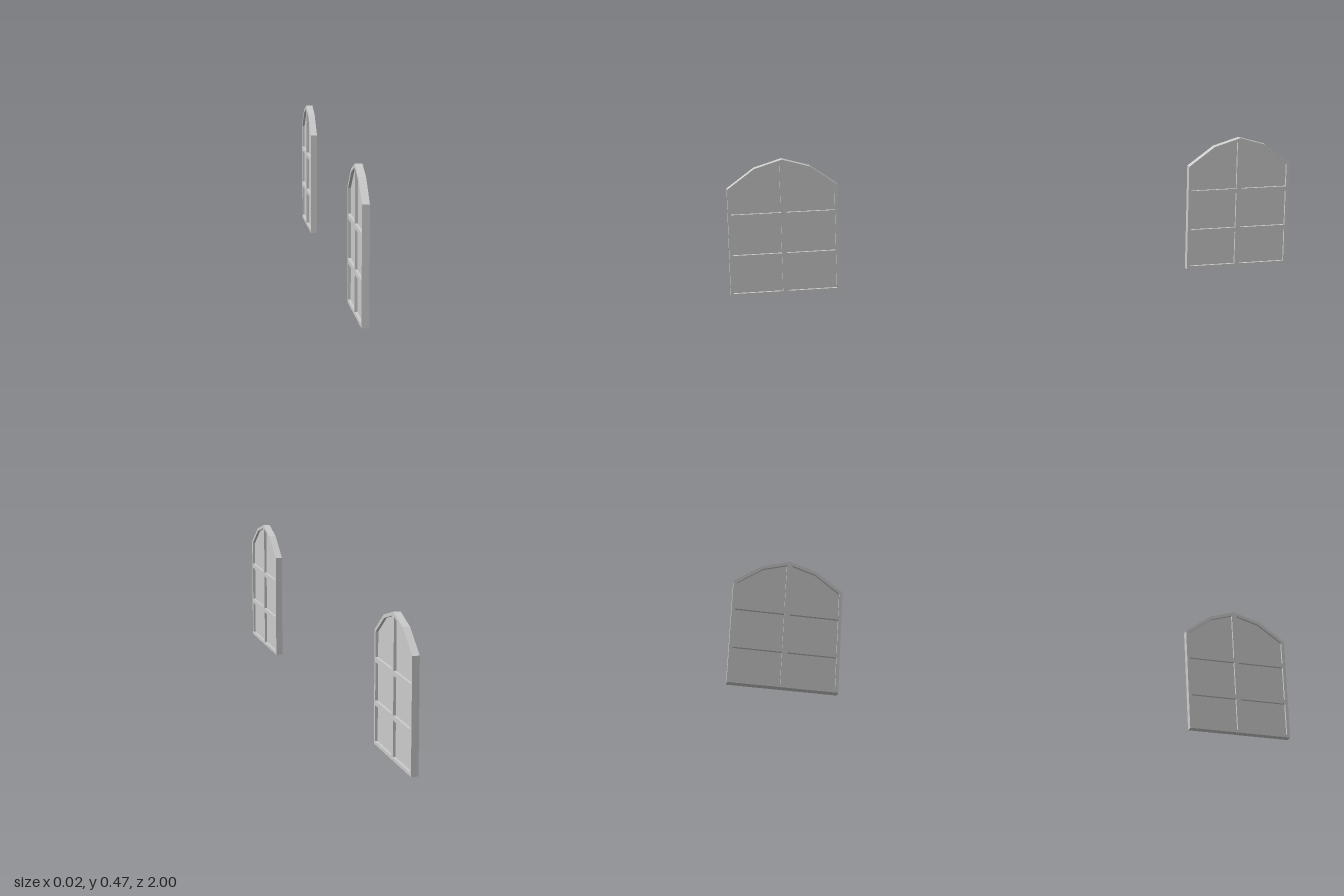
import * as THREE from 'three';

const W = 0.1875;     // half width of a window
const DEPTH = 0.024;  // frame thickness
const GLASS = 0.006;  // pane thickness
const RIM = 0.011;    // frame border
const BAR = 0.009;    // half width of the glazing bars

// Faceted arch, right half: [offset from the centre line, height]
const ARCH = [[0, 0.474], [0.094, 0.446], [W, 0.378]];
const INNER = [[BAR, 0.46], [0.09, 0.435], [W - RIM, 0.372]];

const points = (list) => list.map(([x, y]) => new THREE.Vector2(x, y));

// Extrude a shape centred on its own thickness, then turn it to face along x
function slab(shape, depth) {
  const geo = new THREE.ExtrudeGeometry(shape, { depth, bevelEnabled: false });
  geo.translate(0, 0, -depth / 2);
  geo.rotateY(Math.PI / 2);
  return geo;
}

// Counter-clockwise, so the walls of the openings face inwards
function outline() {
  const left = ARCH.slice(1).map(([x, y]) => [-x, y]);
  return new THREE.Shape(points([[-W, 0], [W, 0], ...[...ARCH].reverse(), ...left]));
}

// Six openings: two rectangular rows and an arched row, mirrored
function openings() {
  const holes = [];
  for (const s of [-1, 1]) {
    const a = BAR, b = W - RIM;
    const panes = [
      [[a, 0.011], [b, 0.011], [b, 0.13], [a, 0.13]],
      [[a, 0.146], [b, 0.146], [b, 0.273], [a, 0.273]],
      [[a, 0.289], [b, 0.289], ...[...INNER].reverse()],
    ];
    for (const p of panes) holes.push(new THREE.Path(points(p.map(([x, y]) => [s * x, y]))));
  }
  return holes;
}

export function createModel() {
  const model = new THREE.Group();
  model.name = 'archedWindows';
  const material = new THREE.MeshStandardMaterial({ color: 0xcccccc, flatShading: true });

  // Frame with glazing bars
  const frameShape = outline();
  frameShape.holes = openings();
  const frameGeo = slab(frameShape, DEPTH);

  // Thin panes recessed on both sides
  const paneGeos = openings().map((h) => slab(new THREE.Shape(h.getPoints()), GLASS));

  // One window at each end
  for (const [side, name] of [[1, 'frontWindow'], [-1, 'backWindow']]) {
    const win = new THREE.Group();
    win.name = name;
    const frame = new THREE.Mesh(frameGeo, material);
    frame.name = 'frame';
    win.add(frame);
    paneGeos.forEach((g, i) => {
      const pane = new THREE.Mesh(g, material);
      pane.name = `pane${i + 1}`;
      win.add(pane);
    });
    win.position.z = side * (1 - W);
    model.add(win);
  }
  return model;
}
